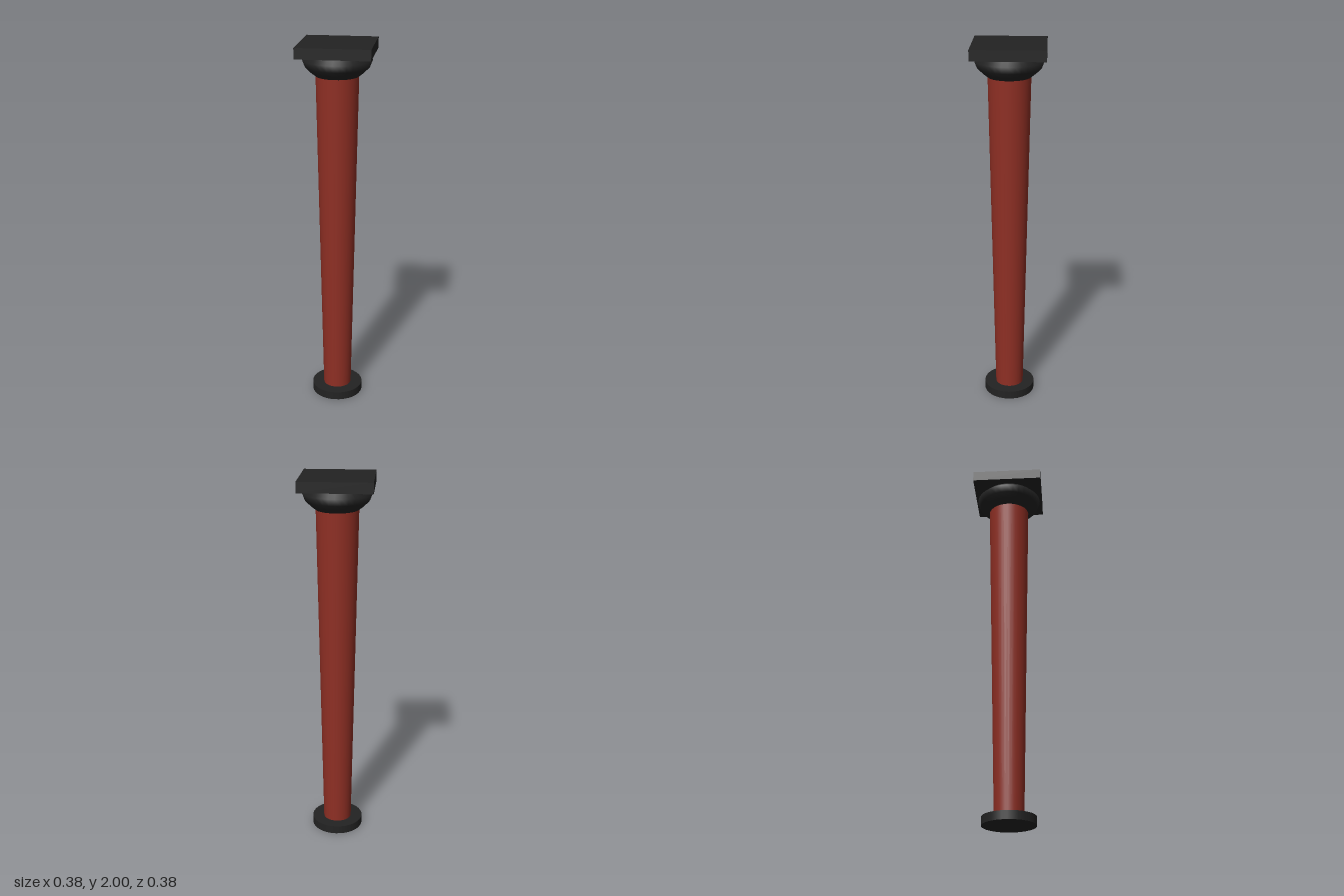
import * as THREE from 'three';

export function createModel() {
  const group = new THREE.Group();
  const red = new THREE.MeshStandardMaterial({ color: 0x8f2f24 });
  red.name = 'red paint';
  const black = new THREE.MeshStandardMaterial({ color: 0x232323 });
  black.name = 'black stone';

  const add = (name, geometry, material, y) => {
    const mesh = new THREE.Mesh(geometry, material);
    mesh.name = name;
    mesh.position.y = y;
    group.add(mesh);
  };

  // Round foot disc
  add('base', new THREE.CylinderGeometry(0.14, 0.14, 0.045, 32), black, 0.0225);

  // Shaft, widening towards the top
  add('shaft', new THREE.CylinderGeometry(0.112, 0.077, 1.787, 32), red, 0.9385);

  // Cushion capital, closed below and above
  const profile = [[0, 1.83], [0.112, 1.83], [0.112, 1.83], [0.138, 1.85], [0.166, 1.877],
    [0.18, 1.913], [0.147, 1.945], [0.147, 1.945], [0, 1.945]];
  add('capital', new THREE.LatheGeometry(profile.map(([r, y]) => new THREE.Vector2(r, y)), 32), black, 0);

  // Square slab on top
  add('abacus', new THREE.BoxGeometry(0.382, 0.056, 0.382), black, 1.972);

  return group;
}
